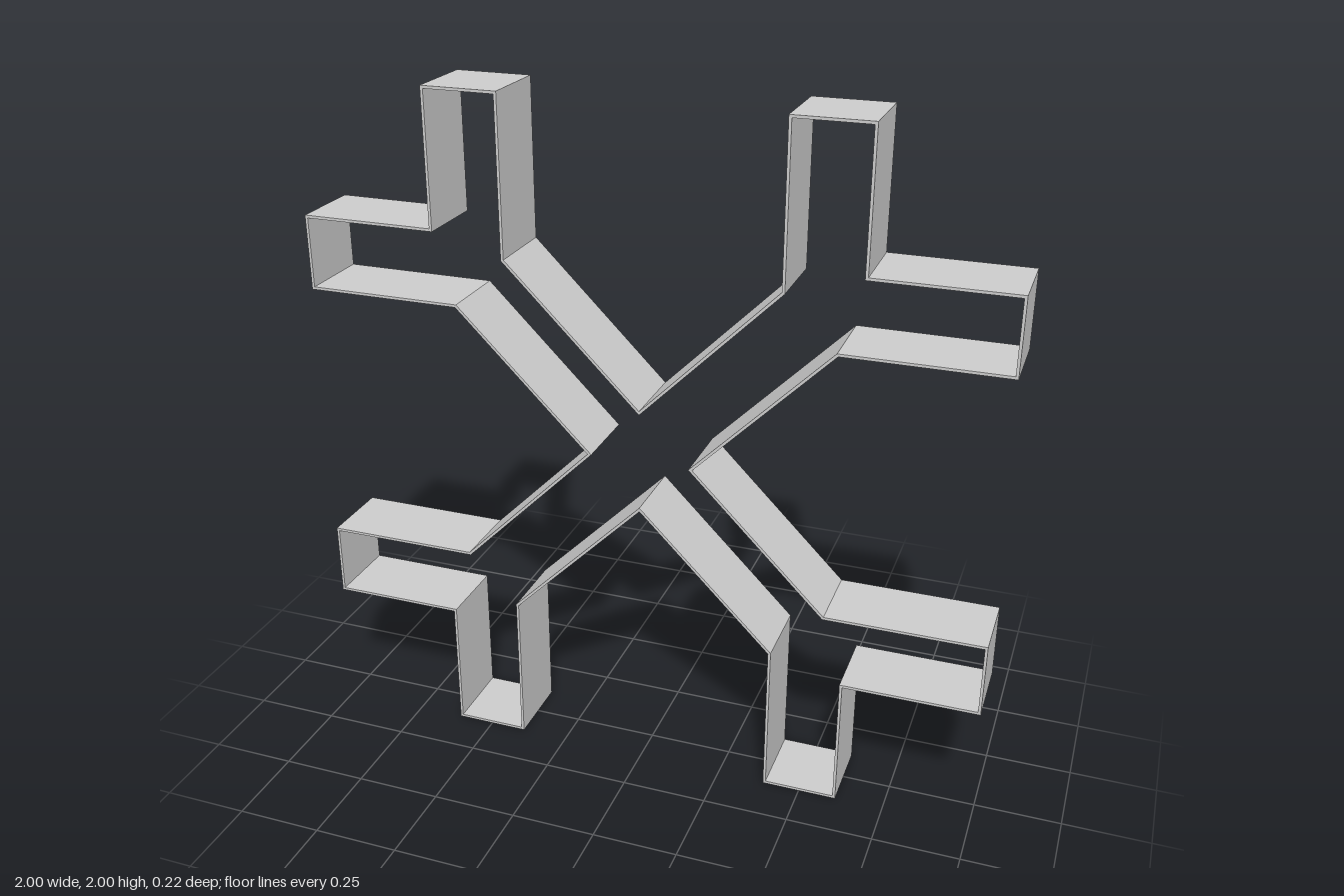
import * as THREE from 'three';

const DEPTH = 0.22;
const WALL = 0.008;

// One forked arm, counter-clockwise around the centre
const ARM = [[0.155, 0], [0.545, 0.39], [1, 0.39], [1, 0.61], [0.61, 0.61], [0.61, 1], [0.39, 1], [0.39, 0.545]];

// Mitred inset of a counter-clockwise outline
function inset(points, d) {
  const n = points.length;
  const normal = (a, b) => new THREE.Vector2(a.y - b.y, b.x - a.x).normalize();
  return points.map((p, i) => {
    const n1 = normal(points[(i + n - 1) % n], p);
    const n2 = normal(p, points[(i + 1) % n]);
    return n1.clone().add(n2).multiplyScalar(d / (1 + n1.dot(n2))).add(p);
  });
}

export function createModel() {
  const model = new THREE.Group();
  model.name = 'forkedCrossCutter';
  const grey = new THREE.MeshStandardMaterial({ color: 0xcccccc });
  grey.name = 'light grey';

  // Four arms by quarter turns
  const outline = [];
  for (let k = 0; k < 4; k++) {
    for (const [x, y] of ARM) {
      outline.push(new THREE.Vector2(x, y).rotateAround(new THREE.Vector2(), k * Math.PI / 2));
    }
  }

  // Thin wall following the outline, open at front and back
  const shape = new THREE.Shape(outline);
  shape.holes.push(new THREE.Path(inset(outline, WALL)));
  const geometry = new THREE.ExtrudeGeometry(shape, { depth: DEPTH, bevelEnabled: false });
  geometry.translate(0, 1, -DEPTH / 2);
  const wall = new THREE.Mesh(geometry, grey);
  wall.name = 'outlineWall';
  model.add(wall);
  return model;
}
